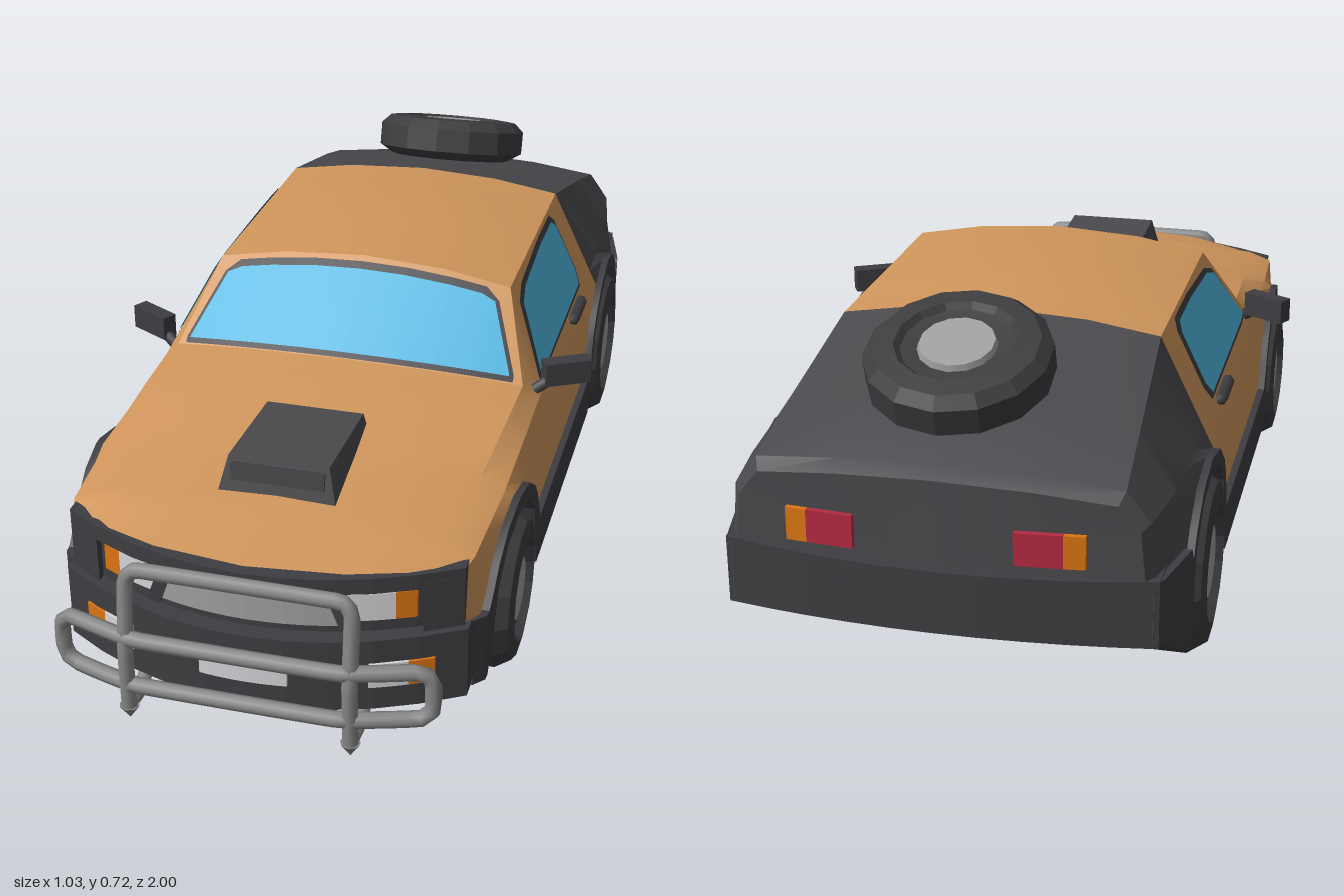
import * as THREE from 'three';
import { toCreasedNormals } from 'three/addons/utils/BufferGeometryUtils.js';

const mat = (name, color, side = THREE.FrontSide) =>
  Object.assign(new THREE.MeshStandardMaterial({ color, side }), { name });
const lerp = THREE.MathUtils.lerp;

// Body keys: z, side width, belt y, belt x, edge y, edge x, top y, bow of the section
const KEYS = [
  [-0.98, 0.385, 0.42, 0.375, 0.47, 0.335, 0.495, -0.03],
  [-0.95, 0.4, 0.43, 0.39, 0.49, 0.345, 0.512, -0.02],
  [-0.8, 0.43, 0.43, 0.41, 0.53, 0.34, 0.56, 0],
  [-0.48, 0.435, 0.42, 0.418, 0.612, 0.325, 0.645, 0],
  [-0.3, 0.435, 0.42, 0.418, 0.612, 0.325, 0.662, 0],
  [-0.1, 0.435, 0.42, 0.418, 0.612, 0.325, 0.665, 0],
  [0.07, 0.435, 0.42, 0.418, 0.612, 0.325, 0.65, 0],
  [0.25, 0.435, 0.42, 0.418, 0.455, 0.385, 0.487, 0.04],
  [0.33, 0.435, 0.412, 0.418, 0.445, 0.38, 0.476, 0],
  [0.55, 0.43, 0.395, 0.415, 0.415, 0.365, 0.44, 0],
  [0.76, 0.415, 0.378, 0.403, 0.396, 0.352, 0.414, 0],
  [0.8, 0.41, 0.375, 0.4, 0.392, 0.35, 0.408, 0.03],
  [0.92, 0.395, 0.365, 0.385, 0.375, 0.34, 0.39, 0.13],
];
// Wheel arches: centre z, centre y, inner and outer radius
const ARCHES = [[0.53, 0.165, 0.18, 0.215], [-0.58, 0.18, 0.2, 0.228]];

function keyAt(z) {
  const i = Math.max(0, Math.min(KEYS.length - 2, KEYS.findIndex((k) => k[0] >= z) - 1));
  const t = (z - KEYS[i][0]) / (KEYS[i + 1][0] - KEYS[i][0]);
  return KEYS[i].map((v, n) => lerp(v, KEYS[i + 1][n], t));
}

// Half section from the floor centre (0) round to the roof centre (9)
function section(z) {
  const [, w, yB, xB, yE, xE, yT, bow] = keyAt(z);
  const floor = 0.1 + Math.max(0, -z - 0.78) * 0.5;
  let low = floor, sill = z > 0.74 ? 0.25 : z < -0.79 ? 0.32 : 0.2;
  for (const [cz, cy, ri, ro] of ARCHES) {
    const d = Math.abs(z - cz);
    if (d <= ri) low = Math.max(low, cy + Math.sqrt(ri * ri - d * d));
    if (d <= ro) sill = Math.max(sill, cy + Math.sqrt(ro * ro - d * d));
  }
  const f = w + 0.015;
  return [[0, floor], [0.28, floor], [0.28, low], [f, low], [f, sill], [w, sill],
    [xB, yB], [xE, yE], [xE * 0.55, yT - 0.3 * (yT - yE)], [0, yT]]
    .map(([x, y]) => [x, y, z - bow * (x / 0.4) ** 2]);
}
const mirror = ([x, y, z]) => [-x, y, z];
const upperRing = (z) => { const s = section(z).slice(5); return [...s, ...s.slice(0, -1).reverse().map(mirror)]; };
const lowerRing = (z) => { const s = section(z).slice(0, 6); return [...s.slice(1).reverse().map(mirror), ...s]; };

// Surface through a grid of points
function sheet(grid, crease = 0.5) {
  const n = grid[0].length, index = [];
  for (let j = 0; j < grid.length - 1; j++)
    for (let i = 0; i < n - 1; i++) {
      const a = j * n + i, d = a + n;
      index.push(a, a + 1, d + 1, a, d + 1, d);
    }
  const g = new THREE.BufferGeometry();
  g.setAttribute('position', new THREE.Float32BufferAttribute(grid.flat(2), 3));
  g.setIndex(index);
  return toCreasedNormals(g, crease);
}

// Slab with a bowed plan, facing forward (dir 1) or backward (dir -1)
function slab(x0, x1, y0, y1, zf, depth, bow = 0.13, dir = 1) {
  const front = [], back = [];
  for (let i = 0; i <= 10; i++) {
    const x = lerp(x0, x1, i / 10), z = dir * (zf - bow * (x / 0.4) ** 2);
    front.push(new THREE.Vector2(x, -z));
    back.unshift(new THREE.Vector2(x, -z + dir * depth));
  }
  const g = new THREE.ExtrudeGeometry(new THREE.Shape([...front, ...back]), { depth: y1 - y0, bevelEnabled: false });
  return g.rotateX(-Math.PI / 2).translate(0, y0, 0);
}

function tube(points, r, closed = false) {
  const c = new THREE.CatmullRomCurve3(points.map((p) => new THREE.Vector3(...p)), closed, 'catmullrom', 0.15);
  return new THREE.TubeGeometry(c, 60, r, 8, closed);
}

export function createModel() {
  const car = new THREE.Group();
  const paint = mat('orange paint', 0xd0965c), charcoal = mat('charcoal panel', 0x4a494d);
  const trim = mat('dark trim', 0x3e3d41, THREE.DoubleSide), rubber = mat('tyre rubber', 0x3d3c3f);
  const glass = mat('blue glass', 0x4fb6e0, THREE.DoubleSide), steel = mat('steel', 0x868686);
  const hubGrey = mat('hub grey', 0xa0a0a0), white = mat('lamp white', 0xd6d6da);
  const amber = mat('amber', 0xdb7512), red = mat('red lamp', 0xb52a42);
  const add = (name, geo, material, parent = car) => {
    const m = new THREE.Mesh(geo, material);
    m.name = name;
    parent.add(m);
    return m;
  };

  // Body shell
  const zs = KEYS.map((k) => k[0]);
  for (const [cz, , ri, ro] of ARCHES)
    for (const s of [-1, 1]) zs.push(...[ro, ri, ri * 0.85, ri * 0.5, 0].map((d) => cz + s * d));
  const stations = [...new Set(zs)].sort((a, b) => a - b);
  add('paintedBody', sheet(stations.filter((z) => z >= -0.48).map(upperRing), 0.4), paint);
  add('rearBody', sheet(stations.filter((z) => z <= -0.48).map(upperRing), 0.4), charcoal);
  add('underbodyAndArches', sheet(stations.map(lowerRing)), trim);
  const tail = [...upperRing(-0.98), ...lowerRing(-0.98)];
  add('tailPanel', sheet([tail.map(() => [0, 0.33, -0.98]), tail]), charcoal);

  // Windscreen and its frame
  for (const [name, grow, lift, m] of [['windscreenFrame', 0.013, 0.005, trim], ['windscreen', 0, 0.009, glass]]) {
    const half = [0, 0.1, 0.2, 0.27, 0.3, 0.33, 0.355].map((x) => x * (1 + grow * 2));
    const xs = [...half.slice(1).reverse().map((x) => -x), ...half];
    const base = (x) => 0.487 - 0.03 * (x / 0.385) ** 2, roof = (x) => 0.65 - 0.038 * (x / 0.325) ** 2;
    const grid = [0, 0.5, 1].map((v) => xs.map((x) => {
      const y0 = base(x) + 0.008 - grow * 0.6;
      const side = y0 + 0.003 + Math.max(0, (0.355 + grow - Math.abs(x)) * 1.95);
      const y = lerp(y0, Math.min(roof(x) - 0.024 + grow, side), v);
      const f = (y - base(x)) / (roof(x) - base(x));
      return [x, y + lift * 0.7, lerp(0.25, 0.07, f) - 0.04 * (1 - f) * (x / 0.4) ** 2 + lift * 0.7];
    }));
    add(name, sheet(grid, 1), m);
  }

  // Side windows: columns of z, lower y, upper y
  const columns = [[0.135, 0.45, 0.457], [0.09, 0.447, 0.52], [0.055, 0.447, 0.572], [0, 0.447, 0.588],
    [-0.2, 0.447, 0.598], [-0.34, 0.447, 0.598], [-0.362, 0.475, 0.58]];
  for (const s of [1, -1])
    for (const [name, kz, ky, lift, m] of [['sideWindowFrame', 1.06, 1.13, 0.004, trim], ['sideWindow', 1, 1, 0.008, glass]]) {
      const grid = [1, 2].map((n) => columns.map((c) => {
        const y = 0.525 + (c[n] - 0.525) * ky;
        return [s * (0.418 - (y - 0.42) * 0.484 + lift), y, -0.115 + (c[0] + 0.115) * kz];
      }));
      if (s < 0) grid.forEach((row) => row.reverse());
      add(name, sheet(grid, 1), m);
    }

  // Nose, bumpers and lamps
  add('noseCore', slab(-0.385, 0.385, 0.1, 0.362, 0.908, 0.12), trim);
  add('noseLip', slab(-0.395, 0.395, 0.345, 0.378, 0.928, 0.03), trim);
  add('frontBumper', slab(-0.405, 0.405, 0.095, 0.25, 0.945, 0.12), trim);
  add('grille', slab(-0.18, 0.18, 0.267, 0.343, 0.914, 0.008), hubGrey);
  add('numberPlate', slab(-0.087, 0.087, 0.15, 0.197, 0.95, 0.008), white);
  const bumper = add('rearBumper', slab(-0.41, 0.41, 0.2, 0.325, 1, 0.17, 0.05, -1), trim);
  const bp = bumper.geometry.attributes.position;
  for (let i = 0; i < bp.count; i++)
    if (bp.getY(i) < 0.25) bp.setY(i, 0.2 - (bp.getZ(i) + 1) * 0.2);
  bumper.geometry.computeVertexNormals();
  for (const s of [1, -1]) {
    const both = (name, a, b, ...rest) => add(name, slab(s * a, s * b, ...rest.slice(0, -1)), rest.at(-1));
    both('nosePost', 0.325, 0.395, 0.245, 0.36, 0.928, 0.05, trim);
    both('headlight', 0.19, 0.275, 0.278, 0.337, 0.916, 0.009, white);
    both('frontIndicator', 0.275, 0.312, 0.278, 0.337, 0.916, 0.009, amber);
    both('fogLamp', 0.235, 0.305, 0.147, 0.2, 0.95, 0.009, white);
    both('lowerIndicator', 0.305, 0.35, 0.147, 0.2, 0.95, 0.009, amber);
    both('tailLamp', 0.15, 0.24, 0.345, 0.41, 0.986, 0.02, 0.03, -1, red);
    both('rearIndicator', 0.24, 0.28, 0.345, 0.41, 0.986, 0.02, 0.03, -1, amber);
    const divider = add('grilleDivider', new THREE.BoxGeometry(0.026, 0.085, 0.02), trim);
    divider.position.set(s * 0.177, 0.304, 0.888);
    divider.rotation.z = s * 0.36;

    // Mirrors and door handles
    const head = add('mirrorHead', new THREE.BoxGeometry(0.1, 0.052, 0.035), trim);
    head.position.set(s * 0.465, 0.469, 0.145);
    head.rotation.y = s * 0.5;
    add('mirrorStalk', tube([[s * 0.395, 0.425, 0.18], [s * 0.445, 0.46, 0.16]], 0.013), trim);
    const handle = add('doorHandle', new THREE.CapsuleGeometry(0.014, 0.1, 3, 6).rotateX(Math.PI / 2), trim);
    handle.position.set(s * 0.425, 0.42, -0.255);
  }

  // Bonnet scoop
  const scoop = new THREE.BoxGeometry(0.24, 0.1, 0.26);
  const p = scoop.attributes.position;
  for (let i = 0; i < p.count; i++) {
    const top = p.getY(i) > 0, front = p.getZ(i) > 0;
    p.setXYZ(i, p.getX(i) * (top ? 0.85 : 1.02), top ? (front ? 0.486 : 0.474) : 0.4, front ? (top ? 0.695 : 0.72) : 0.45);
  }
  scoop.computeVertexNormals();
  add('bonnetScoop', scoop, charcoal);
  const mouth = add('scoopMouth', new THREE.BoxGeometry(0.19, 0.035, 0.008), trim);
  mouth.position.set(0, 0.458, 0.705);
  mouth.rotation.x = -0.28;

  // Wheels and the spare
  const wheel = (name, R, w) => {
    const g = new THREE.Group();
    g.name = name;
    const profile = [[0, -0.5], [0.82, -0.5], [1, -0.3], [1, 0.25], [0.88, 0.46], [0.66, 0.5], [0.6, 0.38], [0.47, 0.34], [0, 0.34]];
    const tyre = new THREE.LatheGeometry(profile.map(([r, y]) => new THREE.Vector2(r * R, y * w)), 14);
    add('tyre', toCreasedNormals(tyre, 0.3), rubber, g);
    add('hub', new THREE.CylinderGeometry(R * 0.4, R * 0.44, 0.02, 14).translate(0, w * 0.36, 0), hubGrey, g);
    car.add(g);
    return g;
  };
  for (const s of [1, -1])
    for (const [name, z, R] of [['frontWheel', 0.53, 0.163], ['rearWheel', -0.58, 0.184]]) {
      const g = wheel(name, R, 0.15);
      g.position.set(s * 0.386, R, z);
      g.rotation.z = -s * Math.PI / 2;
    }
  const spare = wheel('spareWheel', 0.18, 0.1);
  spare.position.set(0.01, 0.632, -0.742);
  spare.rotation.x = -0.31;

  // Bull bar
  const bar = new THREE.Group();
  bar.name = 'bullBar';
  car.add(bar);
  const hoop = [[0.22, 0.07, 0.978], [0.22, 0.2, 0.98], [0.22, 0.34, 0.96], [0.213, 0.36, 0.957], [0.19, 0.37, 0.956]];
  add('upperHoop', tube([...hoop, ...hoop.map(mirror).reverse()], 0.016), steel, bar);
  const loop = [[0.2, 0.23, 0.982], [0.345, 0.23, 0.94], [0.367, 0.21, 0.934], [0.367, 0.145, 0.934], [0.345, 0.125, 0.94], [0.2, 0.125, 0.982]];
  add('lowerLoop', tube([...loop, ...loop.map(mirror).reverse()], 0.016, true), steel, bar);
  for (const s of [1, -1]) {
    add('postTip', new THREE.ConeGeometry(0.02, 0.03, 8).rotateX(Math.PI).translate(s * 0.22, 0.057, 0.977), steel, bar);
    add('mount', tube([[s * 0.22, 0.075, 0.975], [s * 0.22, 0.07, 0.93], [s * 0.22, 0.1, 0.85]], 0.015), steel, bar);
  }
  return car;
}
